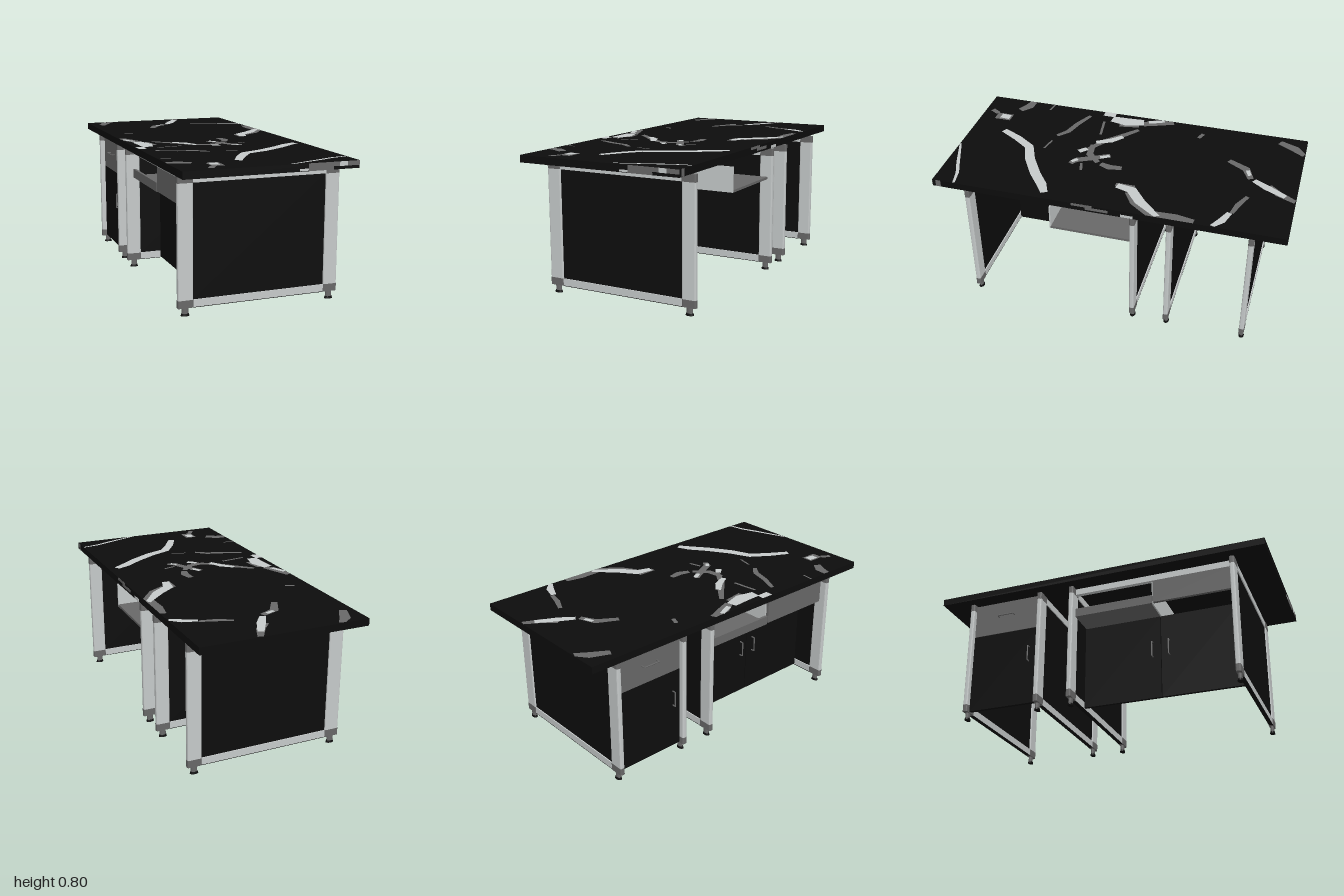
import * as THREE from 'three';

const mat = (name, color, side = THREE.FrontSide) => {
  const m = new THREE.MeshStandardMaterial({ color, side });
  m.name = name;
  return m;
};

export function createModel() {
  const black = mat('black', 0x0d0d0d);
  const light = mat('light grey', 0xc6caca);
  const grey = mat('mid grey', 0x686868);
  const model = new THREE.Group();
  model.name = 'desk';

  const add = (parent, name, geo, material) => {
    const m = new THREE.Mesh(geo, material);
    m.name = name;
    parent.add(m);
    return m;
  };
  // box given by its limits on each axis
  const box = (parent, name, material, x0, x1, y0, y1, z0, z1) => {
    const m = add(parent, name, new THREE.BoxGeometry(x1 - x0, y1 - y0, z1 - z0), material);
    m.position.set((x0 + x1) / 2, (y0 + y1) / 2, (z0 + z1) / 2);
    return m;
  };

  // upright with rounded corners, standing from y0 to y1
  const T = 0.028;
  const upright = (parent, name, material, x0, x1, y0, y1, grow = 0) => {
    const w = (x1 - x0) / 2 + grow, d = T / 2 + grow, r = 0.009;
    const s = new THREE.Shape();
    s.moveTo(-w + r, -d).lineTo(w - r, -d).quadraticCurveTo(w, -d, w, -d + r);
    s.lineTo(w, d - r).quadraticCurveTo(w, d, w - r, d);
    s.lineTo(-w + r, d).quadraticCurveTo(-w, d, -w, d - r);
    s.lineTo(-w, -d + r).quadraticCurveTo(-w, -d, -w + r, -d);
    const g = new THREE.ExtrudeGeometry(s, { depth: y1 - y0, bevelEnabled: false, curveSegments: 4 });
    g.rotateX(-Math.PI / 2);
    add(parent, name, g, material).position.set((x0 + x1) / 2, y0, 0);
  };

  // four framed panels standing across the desk
  const posts = [[-0.445, -0.361], [0.389, 0.47]];
  for (const z of [0.803, -0.162, -0.366, -0.812]) {
    const f = new THREE.Group();
    f.name = 'panelFrame';
    f.position.z = z;
    model.add(f);
    for (const [x0, x1] of posts) {
      upright(f, 'post', light, x0, x1, 0.085, 0.7);
      upright(f, 'topCorner', grey, x0, x1, 0.7, 0.742, 0.0008);
      upright(f, 'bottomCorner', grey, x0, x1, 0.043, 0.085, 0.0008);
      const cx = (x0 + x1) / 2;
      const stem = add(f, 'footStem', new THREE.CylinderGeometry(0.018, 0.018, 0.035, 20), grey);
      stem.position.set(cx, 0.0275, 0);
      const pad = add(f, 'footPad', new THREE.CylinderGeometry(0.02, 0.024, 0.012, 20), black);
      pad.position.set(cx, 0.006, 0);
      stem.scale.z = pad.scale.z = 0.65;
    }
    box(f, 'topRail', light, -0.361, 0.389, 0.7, 0.741, -0.012, 0.012);
    box(f, 'bottomRail', light, -0.361, 0.389, 0.045, 0.085, -0.012, 0.012);
    box(f, 'railUnderside', black, -0.361, 0.389, 0.042, 0.045, -0.012, 0.012);
    box(f, 'infillPanel', black, -0.361, 0.389, 0.085, 0.7, -0.006, 0.006);
  }

  // bow handle on a face looking towards -x
  const handle = (x, y, z, length, upright) => {
    const h = length / 2;
    const pts = [[0, -h], [-0.022, -h], [-0.022, h], [0, h]].map(([a, b]) =>
      upright ? new THREE.Vector3(a, b, 0) : new THREE.Vector3(a, 0, b));
    const path = new THREE.CurvePath();
    for (let i = 0; i < 3; i++) path.add(new THREE.LineCurve3(pts[i], pts[i + 1]));
    add(model, 'handle', new THREE.TubeGeometry(path, 24, 0.004, 6), grey).position.set(x, y, z);
  };

  // main bay: recessed doors, drawer, open shelf and long rail
  box(model, 'leftDoor', black, -0.235, -0.217, 0.05, 0.557, 0.322, 0.789);
  box(model, 'rightDoor', black, -0.235, -0.217, 0.05, 0.557, -0.148, 0.318);
  handle(-0.235, 0.35, 0.27, 0.09, true);
  handle(-0.235, 0.35, 0.37, 0.09, true);
  box(model, 'drawerFront', grey, -0.4, -0.382, 0.565, 0.705, 0.328, 0.789);
  box(model, 'shelf', grey, -0.385, 0.44, 0.56, 0.574, -0.148, 0.322);
  box(model, 'shelfLip', grey, -0.4, -0.385, 0.56, 0.612, -0.148, 0.322);
  box(model, 'shelfDivider', light, -0.385, 0.44, 0.56, 0.705, 0.318, 0.326);
  box(model, 'longRail', light, -0.4, -0.375, 0.705, 0.742, -0.148, 0.789);

  // end bay: drawer over a door
  box(model, 'endDrawerFront', grey, -0.415, -0.395, 0.53, 0.738, -0.798, -0.38);
  box(model, 'endDoor', black, -0.415, -0.395, 0.05, 0.528, -0.798, -0.38);
  handle(-0.415, 0.64, -0.59, 0.1, false);
  handle(-0.415, 0.36, -0.43, 0.09, true);

  // table top
  const Y = 0.795;
  box(model, 'tableTop', black, -0.48, 0.48, 0.755, Y, -1, 1);

  // stone veins: tapered flat ribbons through [x, z] points
  const clamp = (v, m) => Math.max(-m, Math.min(m, v));
  const vein = (material, width, ...pts) => {
    const v = pts.map(([x, z]) => new THREE.Vector2(x, z));
    const a = [], b = [];
    v.forEach((p, i) => {
      const d = v[Math.min(i + 1, v.length - 1)].clone().sub(v[Math.max(i - 1, 0)]).normalize();
      const end = i === 0 || i === v.length - 1;
      const w = width * (end ? 0.38 : 0.5 + 0.06 * Math.sin(i * 7));
      const at = (s) => new THREE.Vector2(clamp(p.x - d.y * w * s, 0.48), -clamp(p.y + d.x * w * s, 1));
      a.push(at(1));
      b.unshift(at(-1));
    });
    const g = new THREE.ShapeGeometry(new THREE.Shape([...a, ...b]));
    g.rotateX(-Math.PI / 2);
    add(model, 'stoneVein', g, material).position.y = Y + (material === light ? 0.002 : 0.001);
  };
  vein(light, 0.052, [0.43, 0.35], [0.36, 0.39], [0.27, 0.46], [0.14, 0.54], [0.02, 0.59], [-0.05, 0.69], [-0.11, 0.8]);
  vein(light, 0.055, [0.48, -0.3], [0.37, -0.18], [0.28, -0.11], [0.26, -0.02]);
  vein(grey, 0.06, [0.47, -0.5], [0.46, -0.4], [0.465, -0.25], [0.38, -0.16], [0.3, -0.1]);
  vein(grey, 0.04, [0.25, -0.12], [0.25, -0.01]);
  vein(light, 0.045, [0.12, -0.94], [0.06, -0.83], [0.01, -0.75]);
  vein(grey, 0.045, [0.15, -1], [0.1, -0.9], [0.04, -0.84]);
  vein(light, 0.03, [-0.03, -0.72], [-0.08, -0.7]);
  vein(grey, 0.045, [0.0, -0.73], [-0.09, -0.69], [-0.15, -0.58]);
  vein(grey, 0.055, [-0.32, -1], [-0.37, -0.94], [-0.42, -0.84]);
  vein(grey, 0.03, [0.17, -0.74], [0.26, -0.7], [0.34, -0.68]);
  vein(light, 0.04, [0.34, -0.67], [0.42, -0.64], [0.48, -0.6]);
  vein(grey, 0.03, [-0.39, -0.38], [-0.34, -0.36]);
  vein(light, 0.08, [-0.42, 0], [-0.4, 0.1], [-0.41, 0.2]);
  vein(light, 0.07, [-0.46, 0.19], [-0.46, 0.265]);
  vein(grey, 0.06, [-0.47, -0.18], [-0.44, -0.08], [-0.4, 0]);
  vein(light, 0.04, [-0.47, -0.12], [-0.43, -0.03]);
  vein(grey, 0.06, [-0.38, 0.02], [-0.36, 0.14]);
  vein(grey, 0.035, [-0.33, 0.01], [-0.24, 0.09], [-0.15, 0.18], [-0.04, 0.25]);
  vein(light, 0.04, [-0.23, 0.08], [-0.17, 0.14], [-0.13, 0.22]);
  vein(light, 0.045, [-0.05, 0.25], [-0.01, 0.29]);
  vein(grey, 0.045, [0.09, 0], [0.1, 0.07], [0.08, 0.13]);
  vein(grey, 0.04, [-0.02, 0.1], [0.03, 0.18], [0.08, 0.28], [0.12, 0.3]);
  vein(grey, 0.04, [-0.1, 0.23], [0, 0.22], [0.07, 0.15]);
  vein(light, 0.035, [-0.01, 0.1], [0.02, 0.15]);
  vein(light, 0.03, [0.07, 0.27], [0.1, 0.3]);
  vein(grey, 0.02, [0.1, 0.24], [0.17, 0.22]);
  vein(grey, 0.03, [-0.41, 0.34], [-0.3, 0.39], [-0.2, 0.42], [-0.14, 0.47]);
  vein(grey, 0.015, [-0.08, 0.48], [0.01, 0.5]);
  vein(grey, 0.02, [-0.37, 0.24], [-0.22, 0.22]);
  vein(grey, 0.055, [-0.48, 0.74], [-0.42, 0.75], [-0.36, 0.79]);
  vein(grey, 0.015, [-0.48, 0.6], [-0.41, 0.61]);
  vein(grey, 0.09, [-0.26, 0.81], [-0.26, 0.91]);
  vein(light, 0.06, [-0.26, 0.82], [-0.265, 0.88]);
  vein(grey, 0.04, [-0.29, 0.91], [-0.32, 0.96]);
  vein(light, 0.018, [0.48, 0.87], [0.38, 0.89], [0.28, 0.93], [0.1, 0.995]);

  // veins running over the table edges
  const frontVein = (m, x0, x1, y0, y1) => box(model, 'edgeVein', m, x0, x1, y0, y1, 0.999, 1.001);
  frontVein(grey, 0.19, 0.366, 0.772, Y);
  frontVein(grey, 0.19, 0.33, 0.755, 0.772);
  frontVein(light, 0.366, 0.41, 0.771, Y);
  frontVein(grey, 0.41, 0.48, 0.771, Y);
  frontVein(light, 0.14, 0.19, 0.758, 0.769);
  const sideVein = (m, z0, z1, y0, y1) => box(model, 'edgeVein', m, 0.479, 0.481, y0, y1, z0, z1);
  sideVein(grey, 0.06, 0.18, 0.78, Y);
  sideVein(grey, -0.03, 0.1, 0.765, 0.782);
  sideVein(light, -0.17, -0.1, 0.756, 0.772);
  sideVein(grey, 0.95, 0.98, 0.756, Y);

  return model;
}
